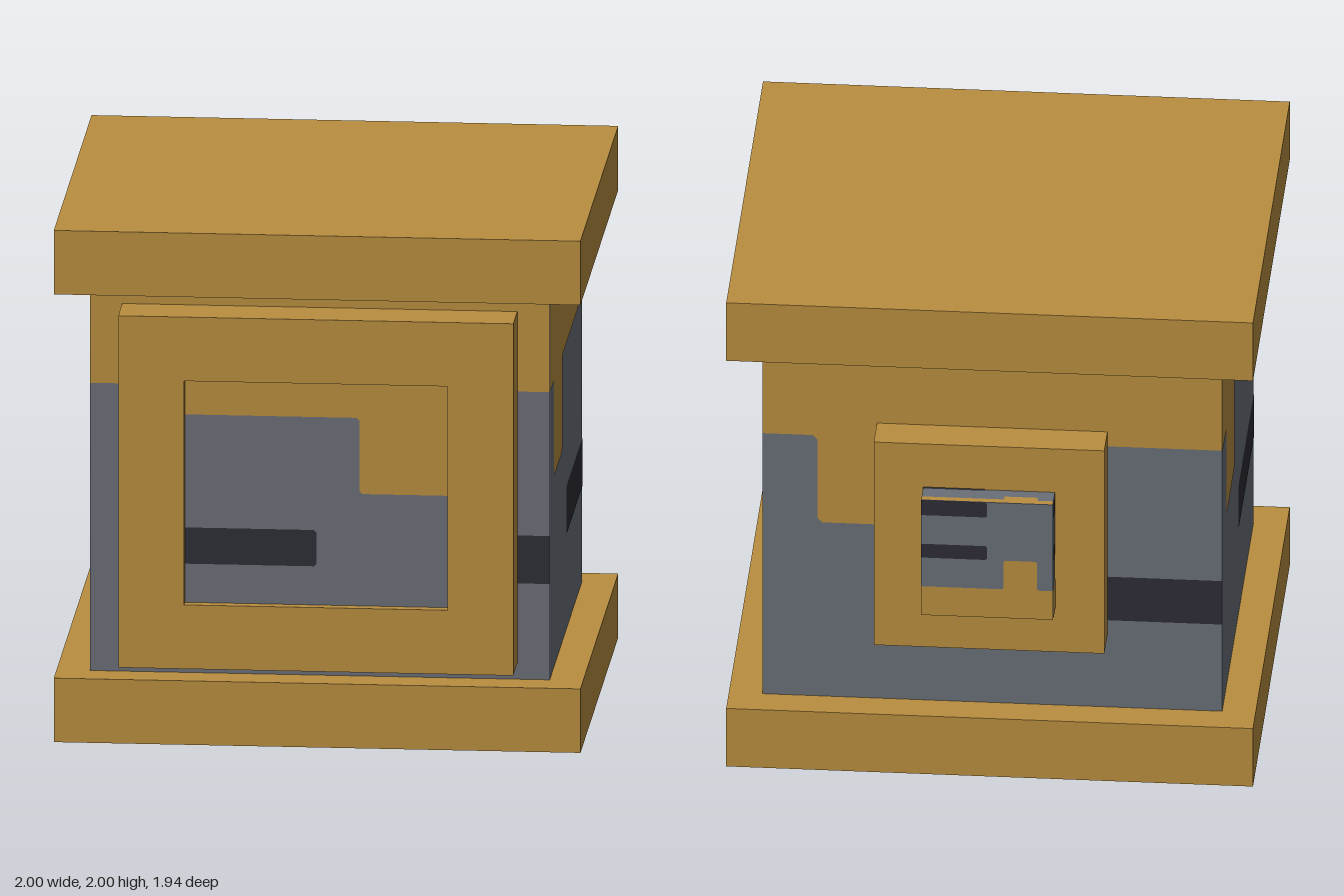
import * as THREE from 'three';

const gold = new THREE.MeshStandardMaterial({ color: 0xb98e3f });
gold.name = 'gold casing';
const grey = new THREE.MeshStandardMaterial({ color: 0x6a6f77 });
grey.name = 'grey metal';
const dark = new THREE.MeshStandardMaterial({ color: 0x2d2c36 });
dark.name = 'dark slot';

// Box given by its limits on each axis
function block(name, material, [x0, x1], [y0, y1], [z0, z1]) {
  const mesh = new THREE.Mesh(new THREE.BoxGeometry(x1 - x0, y1 - y0, z1 - z0), material);
  mesh.position.set((x0 + x1) / 2, (y0 + y1) / 2, (z0 + z1) / 2);
  mesh.name = name;
  return mesh;
}

// Painted face in the XY plane: gold band with a hanging tab, plus dark slots.
// u runs left to right and v top to bottom, both from 0 to 1.
function paintedFace(name, w, h, { band, tab, slots }) {
  const face = new THREE.Group();
  face.name = name;
  const c = 0.012 * Math.min(w, h);
  const add = (label, material, points) => {
    const shape = new THREE.Shape(points.map(([x, y]) => new THREE.Vector2(x, y)));
    const mesh = new THREE.Mesh(new THREE.ShapeGeometry(shape), material);
    mesh.position.z = 0.002;
    mesh.name = label;
    face.add(mesh);
  };
  const X = u => (u - 0.5) * w, Y = v => (0.5 - v) * h;
  const [t0, t1, tv] = tab;
  const right = t1 < 1
    ? [[X(t1), Y(tv) + c], [X(t1), Y(band) - c], [X(t1) + c, Y(band)], [X(1), Y(band)]]
    : [[X(1), Y(tv)]];
  add('goldBand', gold, [
    [X(0), Y(0)], [X(0), Y(band)], [X(t0) - c, Y(band)], [X(t0), Y(band) - c],
    [X(t0), Y(tv) + c], [X(t0) + c, Y(tv)],
    ...(t1 < 1 ? [[X(t1) - c, Y(tv)]] : []), ...right, [X(1), Y(0)],
  ]);
  for (const [u0, u1, v0, v1] of slots) {
    const l = u0 > 0 ? c : 0, r = u1 < 1 ? c : 0;
    add('darkSlot', dark, [
      [X(u0), Y(v0) - l], [X(u0), Y(v1) + l], [X(u0) + l, Y(v1)], [X(u1) - r, Y(v1)],
      [X(u1), Y(v1) + r], [X(u1), Y(v0) - r], [X(u1) - r, Y(v0)], [X(u0) + l, Y(v0)],
    ].filter((p, i, a) => i === 0 || p[0] !== a[i - 1][0] || p[1] !== a[i - 1][1]));
  }
  return face;
}

const rect = (S, x, y0, y1) => new S([[-x, y0], [x, y0], [x, y1], [-x, y1]]
  .map(([a, b]) => new THREE.Vector2(a, b)));

export function createModel() {
  const model = new THREE.Group();
  model.name = 'machineBlock';

  // Base, lid and main body
  model.add(block('base', gold, [-1, 1], [0, 0.25], [-0.843, 0.907]));
  model.add(block('lid', gold, [-1, 1], [1.75, 2], [-0.843, 0.907]));
  model.add(block('body', grey, [-0.873, 0.873], [0.25, 1.75], [-0.716, 0.78]));

  // Painted walls, the same on all four sides
  const wall = { band: 0.25, tab: [0.12, 0.375, 0.5], slots: [[0.5, 1, 0.625, 0.75]] };
  for (let i = 0; i < 4; i++) {
    const side = i % 2 === 1;
    const face = paintedFace('wallPaint', side ? 1.496 : 1.746, 1.5, wall);
    const a = i * Math.PI / 2, out = side ? 0.873 : 0.748;
    face.position.set(Math.sin(a) * out, 1, 0.032 + Math.cos(a) * out);
    face.rotation.y = a;
    model.add(face);
  }

  // Front frame with recessed panel
  const outline = rect(THREE.Shape, 0.75, 0.3125, 1.6875);
  outline.holes.push(rect(THREE.Path, 0.5, 0.5625, 1.4375));
  const frame = new THREE.Mesh(
    new THREE.ExtrudeGeometry(outline, { depth: 0.187, bevelEnabled: false }), gold);
  frame.position.z = 0.781;
  frame.name = 'frontFrame';
  model.add(frame);
  model.add(block('frontPanel', grey, [-0.5, 0.5], [0.5625, 1.4375], [0.79, 0.928]));
  const panel = paintedFace('frontPanelPaint', 1, 0.875,
    { band: 0.16, tab: [0.663, 1, 0.5], slots: [[0, 0.5, 0.665, 0.827]] });
  panel.position.set(0, 1, 0.928);
  model.add(panel);

  // Back plate and connector
  model.add(block('backPlate', gold, [-0.4375, 0.4375], [0.5625, 1.4375], [-0.868, -0.716]));
  model.add(block('connector', grey, [-0.25, 0.25], [0.755, 1.25], [-0.967, -0.868]));

  // Connector paint, upside down on the upright faces
  const plug = {
    band: 0.25, tab: [0.12, 0.375, 0.5],
    slots: [[0.5, 1, 0.5, 0.62], [0.5, 1, 0.87, 1]],
  };
  for (const [w, x, z, turn] of [
    [0.5, 0, -0.967, Math.PI],
    [0.099, 0.25, -0.9175, Math.PI / 2],
    [0.099, -0.25, -0.9175, -Math.PI / 2],
  ]) {
    const face = paintedFace('connectorPaint', w, 0.495, plug);
    face.position.set(x, 1.0025, z);
    face.rotation.set(0, turn, Math.PI);
    model.add(face);
  }
  const top = paintedFace('connectorTopPaint', 0.5, 0.099,
    { band: 0.25, tab: [0.12, 0.375, 0.48], slots: [[0.53, 1, 0.88, 1]] });
  top.position.set(0, 1.25, -0.9175);
  top.rotation.x = -Math.PI / 2;
  model.add(top);

  return model;
}
